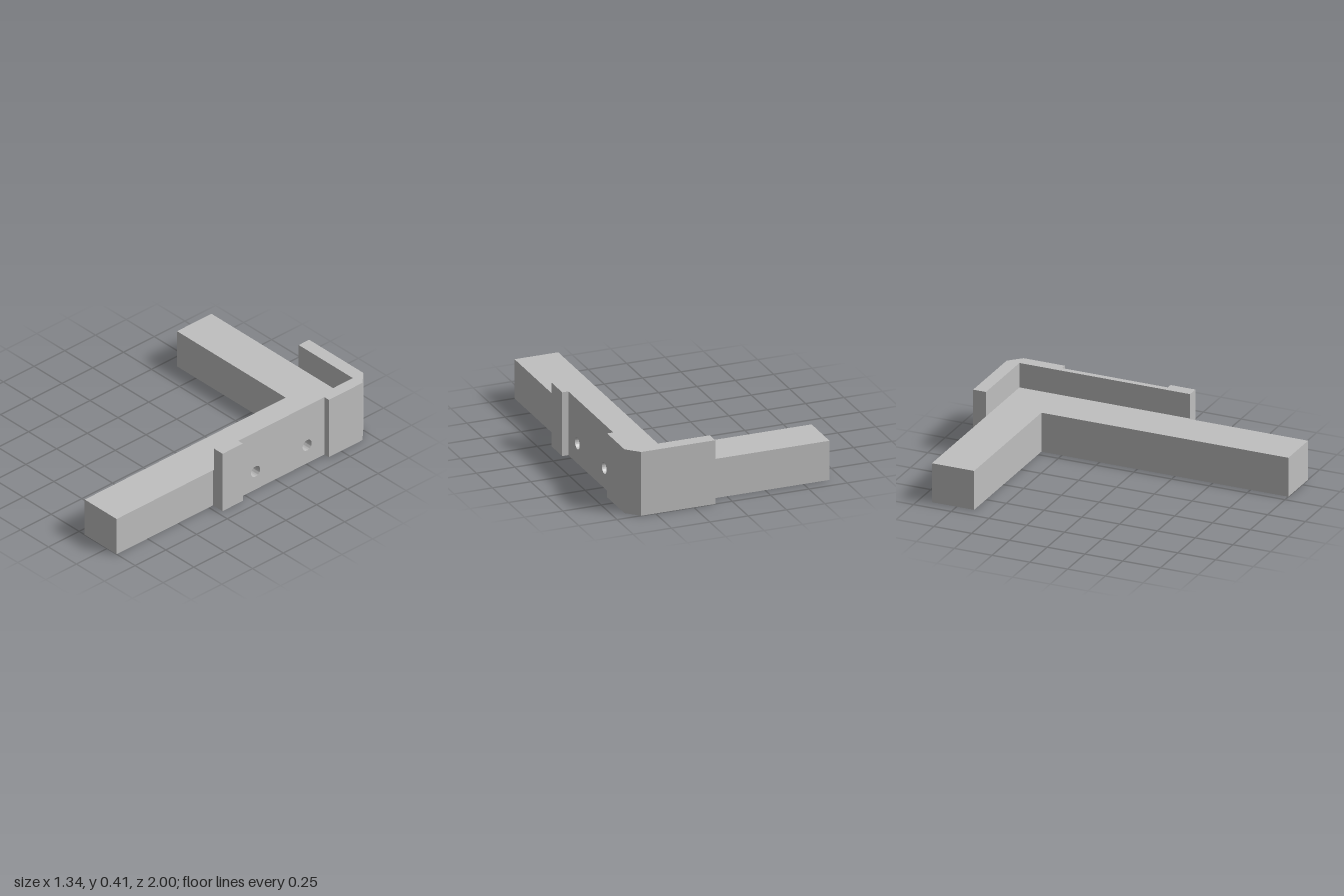
import * as THREE from 'three';
import { toCreasedNormals } from 'three/addons/utils/BufferGeometryUtils.js';

const BEAM_H = 0.255, WALL_H = 0.415;
const INNER = 0.593, RECESS = 0.63, OUTER = 0.67; // x of the bracket faces
const Z0 = -0.65, Z1 = 0.05;                      // recessed stretch of the bracket
const HOLE_FLOOR = 0.48;

export function createModel() {
  const group = new THREE.Group();
  const grey = new THREE.MeshStandardMaterial({ color: 0xbfbfbf });
  grey.name = 'grey';

  const add = (name, geometry) => {
    const mesh = new THREE.Mesh(toCreasedNormals(geometry, 0.5), grey);
    mesh.name = name;
    group.add(mesh);
  };

  // Raise a plan outline of [x, z] points from the ground
  const plan = (name, points, height) => {
    const shape = new THREE.Shape(points.map(([x, z]) => new THREE.Vector2(x, -z)));
    const g = new THREE.ExtrudeGeometry(shape, { depth: height, bevelEnabled: false });
    add(name, g.rotateX(-Math.PI / 2));
  };

  // Upright slab between two x positions, drilled with the two bolt holes
  const drilled = (name, x0, x1, height) => {
    const shape = new THREE.Shape([[-Z1, 0], [-Z0, 0], [-Z0, height], [-Z1, height]]
      .map(([u, y]) => new THREE.Vector2(u, y)));
    for (const z of [-0.09, -0.51]) {
      shape.holes.push(new THREE.Path().absarc(-z, 0.13, 0.037, 0, Math.PI * 2, true));
    }
    const g = new THREE.ExtrudeGeometry(shape, { depth: x1 - x0, bevelEnabled: false, curveSegments: 20 });
    add(name, g.rotateY(Math.PI / 2).translate(x0, 0, 0));
  };

  // Two square beams meeting at the corner, with a pocket for the drilled core
  plan('beams', [
    [-0.67, -0.915], [INNER, -0.915], [INNER, Z0], [HOLE_FLOOR, Z0], [HOLE_FLOOR, Z1],
    [INNER, Z1], [INNER, 0.215], [0.585, 0.215], [0.585, 1], [0.3, 1], [0.3, -0.635], [-0.67, -0.635],
  ], BEAM_H);
  drilled('drilledBeamCore', HOLE_FLOOR, INNER, BEAM_H);

  // Bracket wrapped around the outside of the corner
  plan('bracketCorner', [
    [0.11, -1], [0.593, -1], [OUTER, -0.923], [OUTER, Z0], [INNER, Z0], [INNER, -0.915], [0.11, -0.915],
  ], WALL_H);
  drilled('bracketRecessedWall', INNER, RECESS, WALL_H);
  plan('bracketEndBlock', [[INNER, Z1], [OUTER, Z1], [OUTER, 0.215], [INNER, 0.215]], WALL_H);

  return group;
}
